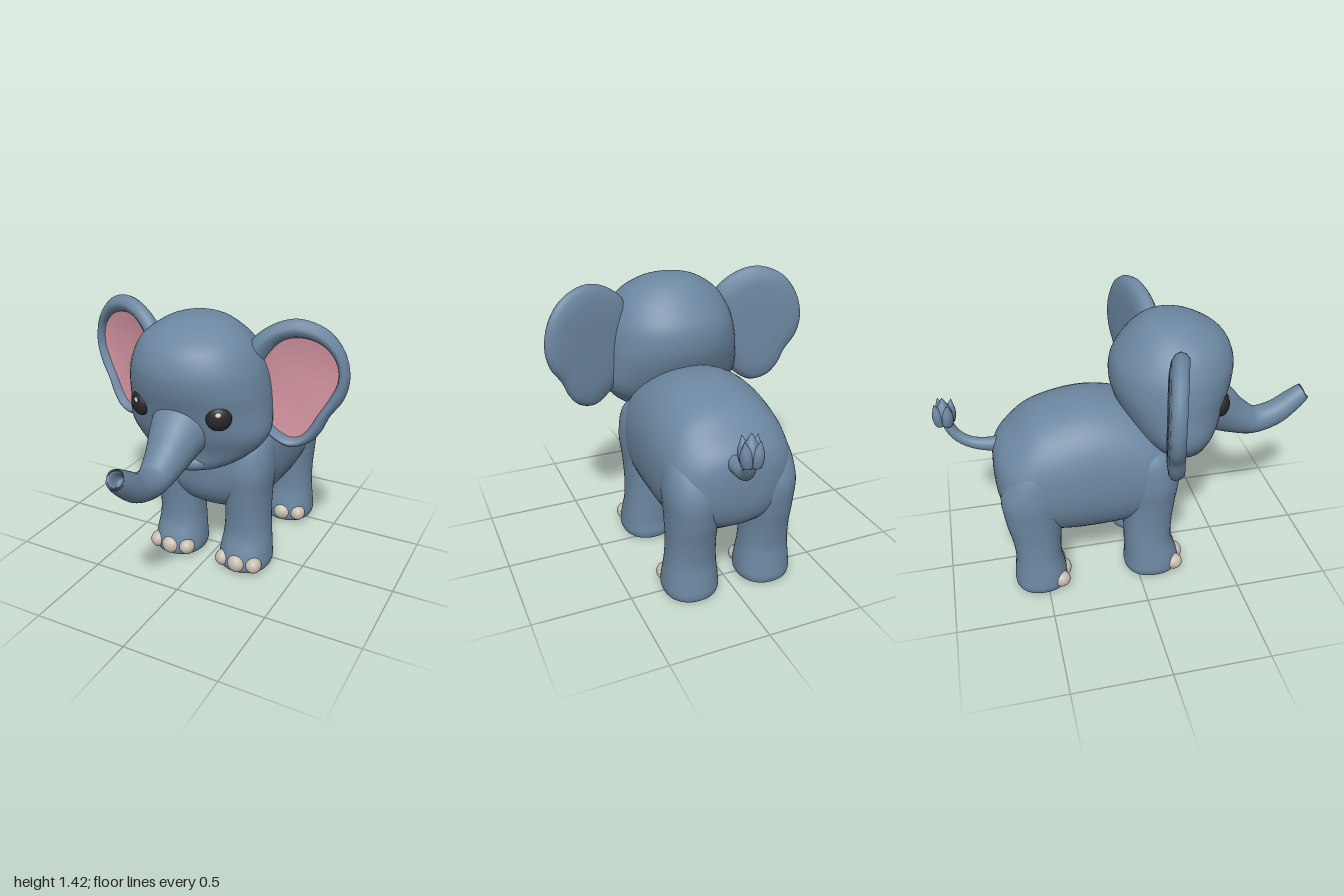
import * as THREE from 'three';

const mat = (name, color) => {
  const m = new THREE.MeshStandardMaterial({ color });
  m.name = name;
  return m;
};

// Catmull-Rom blend of rows of numbers
function spline(rows, steps) {
  const at = i => rows[Math.min(rows.length - 1, Math.max(0, i))], out = [];
  for (let i = 0; i < rows.length - 1; i++) {
    const [a, b, c, d] = [at(i - 1), at(i), at(i + 1), at(i + 2)];
    for (let s = 0; s < steps; s++) {
      const t = s / steps;
      out.push(b.map((_, k) => {
        const cubic = 3 * (b[k] - c[k]) + d[k] - a[k];
        const square = 2 * a[k] - 5 * b[k] + 4 * c[k] - d[k];
        return b[k] + 0.5 * t * (c[k] - a[k] + t * (square + t * cubic));
      }));
    }
  }
  out.push(rows[rows.length - 1]);
  return out;
}

// Joins rings of points into a smooth skin
function skin(rings, flip = false) {
  const n = rings[0].length, index = [];
  for (let r = 0; r < rings.length - 1; r++) {
    for (let j = 0; j < n; j++) {
      const a = r * n + j, b = r * n + (j + 1) % n, c = a + n, d = b + n;
      if (flip) index.push(a, c, b, b, c, d);
      else index.push(a, b, c, b, d, c);
    }
  }
  const g = new THREE.BufferGeometry();
  g.setAttribute('position', new THREE.Float32BufferAttribute(rings.flat(2), 3));
  g.setIndex(index);
  g.computeVertexNormals();
  return g;
}

// Rows are [x, y, z, half width, half depth]; rings face dir, or follow the path
function loft(rows, dir, power = 2, sides = 40, steps = 6) {
  const X = new THREE.Vector3(1, 0, 0), pts = spline(rows, steps);
  let t = dir ? new THREE.Vector3(...dir) : null;
  const bend = v => Math.sign(v) * Math.pow(Math.abs(v), 2 / power);
  return skin(pts.map((p, i) => {
    if (!dir && i < pts.length - 1) {
      const q = pts[i + 1], d = new THREE.Vector3(0, q[1] - p[1], q[2] - p[2]);
      if (d.length() > 1e-4) {
        d.normalize();
        t = t && d.dot(t) < 0 ? d.negate() : d;
      }
    }
    const v = t.clone().cross(X), ru = Math.max(0, p[3]), rv = Math.max(0, p[4]);
    return Array.from({ length: sides }, (_, j) => {
      const a = j / sides * Math.PI * 2, c = bend(Math.cos(a)) * ru, s = bend(Math.sin(a)) * rv;
      return [p[0] + c, Math.max(0, p[1] + v.y * s), p[2] + v.z * s];
    });
  }));
}

export function createModel() {
  const root = new THREE.Group();
  root.name = 'elephant';
  const hide = mat('blue grey hide', 0x6c87a1), pink = mat('inner ear pink', 0xd0929e);
  const nail = mat('toenail ivory', 0xc6beb0), black = mat('eye black', 0x282829);
  const white = mat('eye glint', 0xe4e4e4);
  const add = (name, geo, m, parent = root) => {
    const mesh = new THREE.Mesh(geo, m);
    mesh.name = name;
    parent.add(mesh);
    return mesh;
  };
  const ball = (name, m, pos, size, parent = root) => {
    const mesh = add(name, new THREE.SphereGeometry(1, 28, 20), m, parent);
    mesh.position.set(...pos);
    mesh.scale.set(...size);
  };

  // Body: [z, top, bottom, half width]
  add('body', loft([
    [-0.715, 0.63, 0.63, 0], [-0.705, 0.74, 0.51, 0.13], [-0.67, 0.81, 0.42, 0.23], [-0.6, 0.875, 0.36, 0.3],
    [-0.5, 0.955, 0.3, 0.325], [-0.35, 1.0, 0.275, 0.34], [-0.2, 1.015, 0.27, 0.34], [-0.05, 0.99, 0.28, 0.335],
    [0.08, 0.93, 0.31, 0.32], [0.17, 0.86, 0.37, 0.27], [0.225, 0.77, 0.47, 0.18], [0.245, 0.64, 0.64, 0],
  ].map(([z, t, b, w]) => [0, (t + b) / 2, z, w, (t - b) / 2]), [0, 0, 1], 2.3, 48), hide);

  // Head: [y, back, front, half width]
  add('head', loft([
    [0.64, 0.3, 0.3, 0], [0.655, 0.22, 0.38, 0.12], [0.7, 0.12, 0.41, 0.225], [0.78, 0.05, 0.425, 0.325],
    [0.87, -0.01, 0.46, 0.375], [1.0, -0.07, 0.5, 0.367], [1.1, -0.09, 0.53, 0.355], [1.2, -0.075, 0.535, 0.33],
    [1.3, -0.01, 0.49, 0.275], [1.37, 0.06, 0.39, 0.185], [1.403, 0.12, 0.3, 0.1], [1.413, 0.21, 0.21, 0],
  ].map(([y, b, f, w]) => [0, y, (b + f) / 2, w, (f - b) / 2]), [0, 1, 0], 2.05, 48), hide);
  ball('lowerLip', hide, [0, 0.705, 0.345], [0.13, 0.06, 0.095]);

  // Trunk with a hollow tip: [z, y, radius]
  add('trunk', loft([
    [0.34, 0.94, 0.17], [0.46, 0.865, 0.14], [0.58, 0.783, 0.102], [0.7, 0.733, 0.077], [0.82, 0.757, 0.069],
    [0.91, 0.817, 0.061], [0.97, 0.865, 0.05], [0.978, 0.871, 0.042], [0.97, 0.865, 0.032], [0.93, 0.833, 0.022],
    [0.93, 0.833, 0],
  ].map(([z, y, r]) => [0, y, z, r, r]), null, 2, 32), hide);

  // Ear outlines: outer edge and pink edge, paired point by point
  const outer = [[0.25, 1.29], [0.36, 1.39], [0.475, 1.42], [0.6, 1.375], [0.68, 1.275], [0.71, 1.15], [0.69, 1.04],
    [0.63, 0.945], [0.595, 0.865], [0.54, 0.8], [0.455, 0.775], [0.36, 0.83], [0.27, 0.95], [0.23, 1.13]];
  const inner = [[0.325, 1.22], [0.4, 1.31], [0.485, 1.33], [0.58, 1.3], [0.645, 1.225], [0.658, 1.13], [0.625, 1.04],
    [0.575, 0.95], [0.535, 0.875], [0.5, 0.835], [0.45, 0.825], [0.38, 0.87], [0.3, 0.97], [0.28, 1.1]];
  const trace = pts => new THREE.CatmullRomCurve3(pts.map(([x, y]) => new THREE.Vector3(x, y, 0)), true);
  const N = 72, outC = trace(outer), inC = trace(inner), mid = [0.47, 1.12];
  const earRing = (side, toMid, toInner, depth) => Array.from({ length: N }, (_, j) => {
    const p = outC.getPoint(j / N).lerp(inC.getPoint(j / N), toInner);
    const x = p.x + (mid[0] - p.x) * toMid, y = p.y + (mid[1] - p.y) * toMid;
    return [side * x, y, 0.185 - 0.29 * (x - 0.3) + depth * (1.25 - 0.6 * (x - 0.3))];
  });

  for (const side of [1, -1]) {
    const label = side > 0 ? 'left' : 'right';
    const ear = new THREE.Group();
    ear.name = label + 'Ear';
    root.add(ear);
    // Each ring is [pull to centre, blend to pink edge, depth], from the back round to the rim
    const shell = [[1, 0, -0.045], [0.6, 0, -0.046], [0.3, 0, -0.044], [0.12, 0, -0.036], [0.03, 0, -0.02],
      [0, 0, 0], [0, 0.15, 0.024], [0, 0.4, 0.038], [0, 0.65, 0.036], [0, 0.88, 0.02], [0, 1, 0.002]];
    add('earShell', skin(shell.map(r => earRing(side, ...r)), side > 0), hide, ear);
    const plate = [[0, 1, 0.002], [0.3, 1, -0.008], [0.65, 1, -0.012], [1, 1, -0.012]];
    add('innerEar', skin(plate.map(r => earRing(side, ...r)), side > 0), pink, ear);

    // Eye with glint
    const eye = new THREE.Group();
    eye.name = label + 'Eye';
    eye.position.set(side * 0.213, 0.99, 0.438);
    eye.rotation.y = side * 0.51;
    root.add(eye);
    ball('eyeball', black, [0, 0, 0], [0.062, 0.063, 0.04], eye);
    ball('glint', white, [0.008 - side * 0.012, 0.027, 0.034], [0.014, 0.013, 0.005], eye);

    // Legs: [y, z centre, half width, half depth]
    const legs = {
      Front: [[0, 0.085, 0, 0], [0, 0.085, 0.11, 0.12], [0.03, 0.088, 0.14, 0.15], [0.1, 0.083, 0.138, 0.143],
        [0.2, 0.066, 0.126, 0.128], [0.32, 0.065, 0.12, 0.13], [0.45, 0.07, 0.125, 0.14], [0.6, 0.075, 0.138, 0.15],
        [0.75, 0.07, 0.11, 0.11], [0.83, 0.06, 0, 0]],
      Back: [[0, -0.525, 0, 0], [0, -0.525, 0.11, 0.115], [0.03, -0.525, 0.14, 0.14], [0.1, -0.525, 0.138, 0.135],
        [0.2, -0.53, 0.126, 0.122], [0.32, -0.535, 0.122, 0.13], [0.45, -0.54, 0.128, 0.15], [0.6, -0.535, 0.135, 0.16],
        [0.75, -0.5, 0.1, 0.11], [0.83, -0.47, 0, 0]],
    };
    for (const [end, rows] of Object.entries(legs)) {
      add(label + end + 'Leg', loft(rows.map(([y, z, w, d]) => [side * 0.2, y, z, w, d]), [0, 1, 0], 2.2), hide);
      const z = end === 'Front' ? 0.215 : -0.407;
      for (const k of [-1, 0, 1]) {
        ball(label + end + 'Toenail', nail, [side * 0.203 + k * 0.09, 0.058, z - Math.abs(k) * 0.02],
          [k ? 0.043 : 0.05, k ? 0.044 : 0.05, 0.046]);
      }
    }
  }

  // Tail and its tuft of pointed locks
  add('tail', loft([
    [0.04, 0.76, -0.63, 0.045, 0.045], [0.05, 0.752, -0.72, 0.036, 0.036], [0.065, 0.768, -0.81, 0.03, 0.03],
    [0.08, 0.815, -0.88, 0.028, 0.028], [0.095, 0.885, -0.917, 0.026, 0.026], [0.1, 0.93, -0.925, 0.02, 0.02],
  ], null, 2, 20), hide);
  const tuft = new THREE.Group();
  tuft.name = 'tailTuft';
  tuft.position.set(0.097, 0.865, -0.925);
  root.add(tuft);
  const drop = [[0, 0], [0.012, 0.03], [0.05, 0.036], [0.085, 0.03], [0.12, 0.013], [0.145, 0]];
  const lock = loft(drop.map(([y, r]) => [0, y, 0, r, r]), [0, 1, 0], 2, 16, 4);
  add('middleLock', lock, hide, tuft).scale.set(1.25, 1.13, 1.25);
  for (let k = 0; k < 4; k++) {
    const a = k * Math.PI / 2 + 0.5;
    const m = add('sideLock', lock, hide, tuft);
    m.position.set(Math.sin(a) * 0.022, 0.005, Math.cos(a) * 0.022);
    m.rotation.set(Math.cos(a) * 0.2, 0, -Math.sin(a) * 0.2);
    m.scale.set(0.85, 0.95, 0.85);
  }
  return root;
}
